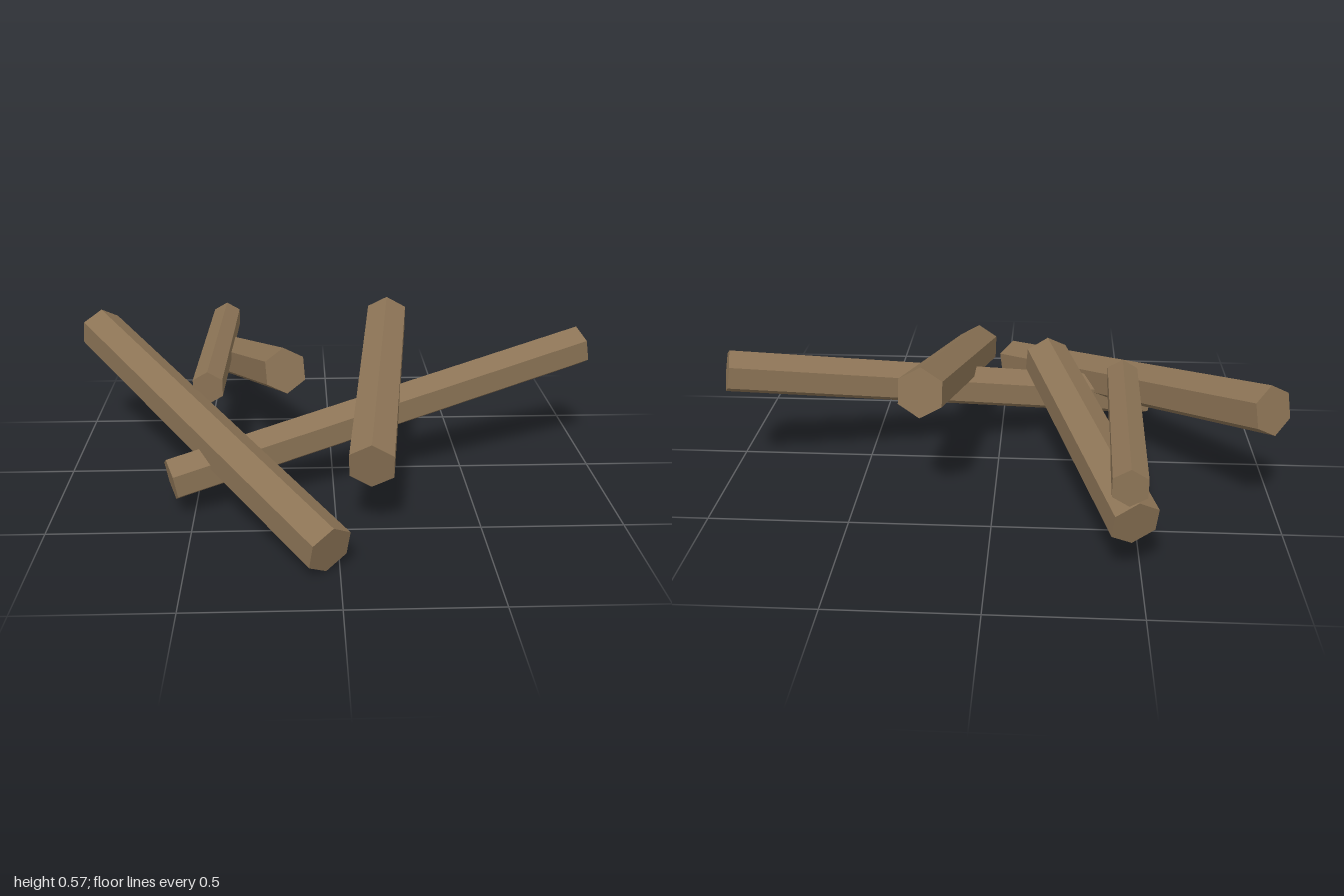
import * as THREE from 'three';

// Hexagonal log between two end centres, one edge of the prism pointing up
function makeLog(name, from, to, radius, material) {
  const a = new THREE.Vector3(...from);
  const b = new THREE.Vector3(...to);
  const axis = b.clone().sub(a);
  const length = axis.length();
  axis.normalize();
  const side = new THREE.Vector3().crossVectors(axis, new THREE.Vector3(0, 1, 0)).normalize();
  const ridge = new THREE.Vector3().crossVectors(side, axis);

  const log = new THREE.Mesh(new THREE.CylinderGeometry(radius, radius, length, 6), material);
  log.name = name;
  log.quaternion.setFromRotationMatrix(new THREE.Matrix4().makeBasis(side, axis, ridge));
  log.position.copy(a).add(b).multiplyScalar(0.5);
  return log;
}

export function createModel() {
  const group = new THREE.Group();
  group.name = 'logPile';
  const wood = new THREE.MeshStandardMaterial({ color: 0x8b7355, flatShading: true });

  // name, one end, other end, radius
  const logs = [
    ['longCrossLog', [-0.58, 0.13, 0.345], [0.975, 0.435, -0.185], 0.08],
    ['rightLog', [-0.033, 0.09, 0.79], [-0.935, 0.445, -0.435], 0.0875],
    ['leftLog', [0.115, 0.26, 0.535], [0.24, 0.485, -0.445], 0.0875],
    ['backLog', [-0.175, 0.423, 0.04], [-0.47, 0.214, -0.79], 0.086],
    ['thinBackLog', [-0.465, 0.355, 0.033], [-0.443, 0.369, -0.842], 0.0635],
  ];
  for (const [name, from, to, radius] of logs) group.add(makeLog(name, from, to, radius, wood));
  return group;
}
